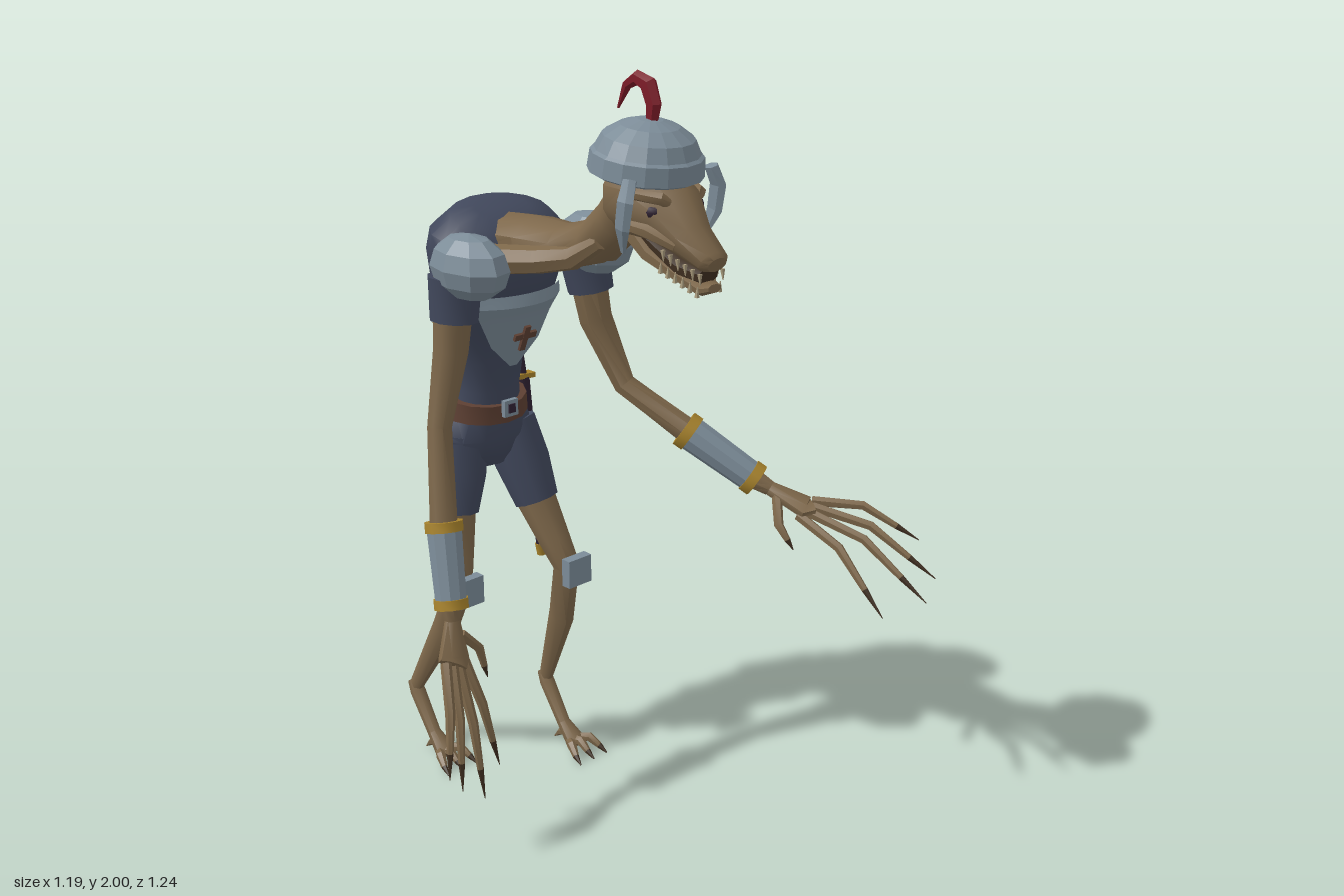
import * as THREE from 'three';
import { toCreasedNormals } from 'three/addons/utils/BufferGeometryUtils.js';

const CX = -0.125; // body's middle
const V = (p) => new THREE.Vector3(p[0], p[1], p[2]);
const mat = (name, color, double) => {
  const m = new THREE.MeshStandardMaterial({ color });
  m.name = name;
  if (double) m.side = THREE.DoubleSide;
  return m;
};

// Solid skin over elliptical rings along a path; each ring is [x, y, z, width, depth]
function loft(rings, sides = 8, crease = 0.8) {
  const pos = [], idx = [], n = rings.length, pts = rings.map(V);
  rings.forEach((r, i) => {
    const t = pts[Math.min(i + 1, n - 1)].clone().sub(pts[Math.max(i - 1, 0)]).normalize();
    const u = new THREE.Vector3(1, 0, 0).addScaledVector(t, -t.x).normalize();
    const v = t.clone().cross(u);
    for (let j = 0; j < sides; j++) {
      const a = ((j + 0.5) / sides) * Math.PI * 2;
      const p = pts[i].clone().addScaledVector(u, Math.cos(a) * r[3]).addScaledVector(v, Math.sin(a) * (r[4] ?? r[3]));
      pos.push(p.x, p.y, p.z);
    }
  });
  pos.push(...pts[0].toArray(), ...pts[n - 1].toArray());
  const c0 = n * sides, c1 = c0 + 1;
  for (let j = 0; j < sides; j++) {
    const k = (j + 1) % sides;
    for (let i = 0; i < n - 1; i++) {
      const a = i * sides, b = a + sides;
      idx.push(a + j, a + k, b + j, a + k, b + k, b + j);
    }
    const e = (n - 1) * sides;
    idx.push(c0, k, j, c1, e + j, e + k);
  }
  const g = new THREE.BufferGeometry();
  g.setAttribute('position', new THREE.Float32BufferAttribute(pos, 3));
  g.setIndex(idx);
  return toCreasedNormals(g, crease);
}

// Curved plate wrapped round the body; rows are [y, rx, rz, zCentre, halfAngle]
const platePoint = ([y, rx, rz, zc], a, dir) => [CX + rx * Math.sin(a), y, zc + dir * rz * Math.cos(a)];
function plate(rows, dir, cols = 8) {
  const pos = [], idx = [];
  rows.forEach((r, i) => {
    for (let j = 0; j <= cols; j++) {
      pos.push(...platePoint(r, (j / cols * 2 - 1) * r[4] * dir, dir));
      if (i && j) {
        const d = i * (cols + 1) + j, b = d - cols - 1;
        idx.push(b - 1, d - 1, b, b, d - 1, d);
      }
    }
  });
  const g = new THREE.BufferGeometry();
  g.setAttribute('position', new THREE.Float32BufferAttribute(pos, 3));
  g.setIndex(idx);
  return toCreasedNormals(g, 0.5);
}

export function createModel() {
  const model = new THREE.Group();
  const skin = mat('tan skin', 0x7d674a), steel = mat('steel', 0x7c8c98, true);
  const cloth = mat('dark blue cloth', 0x41485c, true), gold = mat('gold', 0xa8832c);
  const leather = mat('brown leather', 0x5e4033), sheath = mat('dark purple', 0x2f2232);
  const red = mat('plume red', 0x7d1c28), claw = mat('dark claw', 0x3d2d1f);
  const bone = mat('bone', 0xa89a7c);

  const add = (name, geo, m, parent = model) => {
    const mesh = new THREE.Mesh(geo, m);
    mesh.name = name;
    parent.add(mesh);
    return mesh;
  };
  const box = (name, size, p, m, rx = 0, rz = 0) => {
    const b = add(name, new THREE.BoxGeometry(...size), m);
    b.position.set(...p);
    b.rotation.set(rx, 0, rz);
  };
  // Rings placed on the body's middle plane: [y, z, width, depth]
  const mid = (rows) => rows.map(([y, z, w, d]) => [CX, y, z, w, d]);

  // Torso and hips
  add('torso', loft(mid([[1.05, -.44, .105, .09], [1.12, -.425, .09, .08], [1.2, -.425, .105, .09], [1.3, -.42, .135, .105],
    [1.4, -.385, .175, .135], [1.5, -.365, .2, .145], [1.555, -.36, .195, .13], [1.595, -.345, .15, .095], [1.61, -.34, .08, .05]]), 16), cloth);
  add('hips', loft(mid([[.9, -.45, .08, .07], [.94, -.45, .135, .09], [.99, -.445, .152, .1], [1.06, -.44, .115, .095]]), 14), cloth);
  add('belt', loft([[CX, 1.045, -.447, .128, .112], [CX, 1.095, -.44, .12, .108]], 14), leather);
  box('buckle', [.045, .045, .014], [CX, 1.073, -.33], steel);
  box('buckleHole', [.022, .024, .006], [CX, 1.073, -.322], sheath);

  // Chest plate with its cross
  add('chestPlate', plate([[1.405, .185, .145, -.38, .85], [1.375, .18, .16, -.385, .9], [1.33, .16, .15, -.4, .8],
    [1.26, .14, .137, -.415, .6], [1.195, .12, .115, -.425, .1]], 1), steel);
  box('crossUpright', [.018, .075, .008], [CX, 1.28, -.262], leather, .4);
  box('crossBar', [.07, .018, .008], [CX, 1.287, -.26], leather, .4);

  // Pointed back panel with gold edging
  const back = [[1.37, .14, .132, -.405, 1.1], [1.3, .14, .138, -.41, .78], [1.22, .14, .143, -.415, .5], [1.1, .14, .15, -.425, .05]];
  add('backPanel', plate(back, -1), cloth);
  for (const s of [1, -1])
    add('backTrim', loft(back.map((r) => [...platePoint(r, s * r[4], -1), .011, .011]), 5), gold);
  box('backStripe', [.014, .15, .008], [CX, 1.27, -.559], steel, -.14);
  box('backBar', [.09, .014, .008], [CX, 1.33, -.551], steel, -.14);

  // Neck and head
  add('neck', loft(mid([[1.54, -.33, .085, .06], [1.55, -.2, .09, .06], [1.555, -.08, .075, .055], [1.585, .02, .063, .055],
    [1.65, .1, .065, .06], [1.71, .16, .07, .07]]), 10), skin);
  add('skull', loft(mid([[1.72, .09, .045, .05], [1.72, .13, .085, .09], [1.72, .2, .1, .1], [1.69, .28, .085, .075],
    [1.645, .335, .06, .045], [1.605, .405, .045, .028], [1.6, .418, .03, .018]]), 10), skin);
  add('mouth', loft(mid([[1.63, .22, .05, .03], [1.58, .32, .045, .025], [1.57, .39, .034, .02]]), 8), claw);
  add('lowerJaw', loft(mid([[1.66, .16, .06, .04], [1.6, .24, .062, .028], [1.565, .32, .047, .02], [1.54, .39, .038, .016], [1.545, .412, .022, .01]]), 8), skin);
  for (const s of [1, -1]) {
    const sx = (x) => CX + s * x;
    add('neckMuscle', loft([[sx(.045), 1.6, .08, .02], [sx(.06), 1.55, .0, .03], [sx(.085), 1.53, -.1, .035], [sx(.13), 1.51, -.26, .04]], 7), skin);
    const eye = add('eye', new THREE.SphereGeometry(.026, 8, 6), sheath);
    eye.position.set(sx(.058), 1.708, .282);
    eye.scale.set(1.1, .75, .9);
    add('brow', loft([[sx(.03), 1.718, .312, .012], [sx(.06), 1.738, .3, .016], [sx(.094), 1.745, .24, .012]], 6), skin);
    add('cheekbone', loft([[sx(.05), 1.635, .335, .012], [sx(.082), 1.665, .275, .017], [sx(.1), 1.675, .2, .012]], 6), skin);
    for (let i = 0; i < 6; i++) {
      const z = .3 + i * .02, x = sx(.054 - i * .0035), y = 1.622 - i * .008;
      add('upperTooth', loft([[x, y, z, .006], [x, y - .026, z + .002, .001]], 4), bone);
      add('lowerTooth', loft([[x, y - .055, z - .008, .006], [x, y - .03, z - .006, .001]], 4), bone);
    }
    add('cheekGuard', loft([[sx(.128), 1.785, .27, .014, .02], [sx(.147), 1.74, .275, .014, .026],
      [sx(.147), 1.68, .265, .012, .024], [sx(.13), 1.62, .25, .004, .008]], 6, .1), steel);
  }

  // Helmet and plume
  const profile = [[0, -.012], [.125, -.014], [.136, -.008], [.132, .036], [.124, .042], [.108, .075], [.07, .1], [.03, .113], [0, .116]];
  const helmet = add('helmet', toCreasedNormals(new THREE.LatheGeometry(profile.map((p) => new THREE.Vector2(...p)), 16), .1), steel);
  helmet.position.set(CX, 1.785, .188);
  helmet.rotation.x = .12;
  add('plume', loft(mid([[1.88, .205, .012, .015], [1.93, .212, .016, .022], [1.972, .195, .018, .024], [1.985, .16, .017, .017],
    [1.965, .125, .012, .012], [1.91, .095, .003, .003]]), 6, .4), red);

  // Arms: upper path, cuff ends, hand, finger tips; bow lifts the finger middles
  const arms = [
    { name: 'left', pad: [.085, 1.505, -.225], top: [.085, 1.48, -.27], sleeve: [.098, 1.37, -.255], bicep: [.107, 1.29, -.245], elbow: [.155, 1.11, -.185],
      cuff: [[.222, 1.008, -.02], [.33, .88, .14]], wrist: [.35, .86, .175], palm: [.395, .82, .265], bow: [.01, .035, 0],
      knuckles: [[.43, .825, .255], [.41, .82, .275], [.388, .812, .28], [.365, .805, .265]],
      tips: [[.59, .74, .495], [.55, .67, .585], [.475, .635, .615], [.38, .6, .55]],
      thumb: [[.35, .845, .2], [.305, .79, .25], [.315, .73, .295]] },
    { name: 'right', pad: [-.335, 1.515, -.21], top: [-.335, 1.48, -.27], sleeve: [-.343, 1.37, -.27], bicep: [-.355, 1.29, -.272], elbow: [-.397, 1.1, -.275],
      cuff: [[-.43, .862, -.23], [-.457, .655, -.175]], wrist: [-.46, .62, -.17], palm: [-.478, .53, -.145], bow: [-.01, .02, .025],
      knuckles: [[-.515, .53, -.13], [-.494, .515, -.13], [-.472, .51, -.135], [-.45, .52, -.145]],
      tips: [[-.595, .27, -.025], [-.545, .21, -.04], [-.467, .15, -.05], [-.385, .2, -.09]],
      thumb: [[-.445, .58, -.155], [-.4, .53, -.14], [-.38, .44, -.135]] },
  ];
  for (const a of arms) {
    const g = new THREE.Group();
    g.name = a.name + 'Arm';
    model.add(g);
    const pad = add('shoulderGuard', toCreasedNormals(new THREE.SphereGeometry(1, 9, 6), .05), steel, g);
    pad.scale.set(.08, .083, .125);
    pad.position.set(...a.pad);
    add('sleeve', loft([[...a.top, .07], [...a.sleeve, .06, .065]], 10), cloth, g);
    add('arm', loft([[...a.top, .055], [...a.bicep, .046], [...a.elbow, .032], [...a.cuff[0], .036], [...a.cuff[1], .028], [...a.wrist, .021]], 8), skin, g);
    const at = (f) => V(a.cuff[0]).lerp(V(a.cuff[1]), f).toArray();
    add('cuff', loft([[...at(0), .047], [...at(1), .041]], 10, .1), steel, g);
    for (const [f, r] of [[-.02, .051], [.9, .046]])
      add('cuffBand', loft([[...at(f), r], [...at(f + .12), r]], 10), gold, g);
    add('palm', loft([[...a.wrist, .02], [...a.palm, .045, .02], [...V(a.palm).lerp(V(a.knuckles[1]), .9).toArray(), .04, .016]], 8), skin, g);
    const finger = (k, m, t, r) => {
      const c = m.clone().lerp(t, .6).toArray();
      add('finger', loft([[...k.toArray(), r], [...m.toArray(), r * .9], [...c, r * .6]], 6), skin, g);
      add('claw', loft([[...c, r * .6], [...t.toArray(), .001]], 6), claw, g);
    };
    a.knuckles.forEach((k, i) => {
      const t = V(a.tips[i]);
      finger(V(k), V(k).lerp(t, .45).add(V(a.bow)), t, .0145);
    });
    finger(...a.thumb.map(V), .014);
  }

  // Legs: hip, hem, knee, calf, ankle
  const legs = [
    { name: 'left', hip: [-.05, .99, -.435], hem: [-.02, .775, -.355], knee: [0, .6, -.255], calf: [.013, .43, -.295], ankle: [.03, .195, -.388] },
    { name: 'right', hip: [-.2, .99, -.455], hem: [-.23, .775, -.445], knee: [-.255, .565, -.41], calf: [-.264, .42, -.47], ankle: [-.28, .195, -.6] },
  ];
  for (const l of legs) {
    const g = new THREE.Group();
    g.name = l.name + 'Leg';
    model.add(g);
    add('shortsLeg', loft([[...l.hip, .075, .085], [...V(l.hip).lerp(V(l.hem), .5).toArray(), .074, .085], [...l.hem, .062, .066]], 10), cloth, g);
    add('leg', loft([[...l.hem, .056], [...V(l.hem).lerp(V(l.knee), .6).toArray(), .045], [...l.knee, .037, .04], [...l.calf, .034, .04], [...l.ankle, .018, .022]], 8), skin, g);
    const pad = add('kneeGuard', new THREE.BoxGeometry(.08, .08, .03), steel, g);
    pad.position.set(l.knee[0], l.knee[1], l.knee[2] + .043);
    const [x, y, z] = l.ankle;
    add('foot', loft([[x, y + .012, z - .012, .018], [x, y - .02, z + .005, .022], [x, .07, z + .075, .019], [x, .035, z + .12, .03, .02], [x, .025, z + .14, .024, .014]], 8), skin, g);
    for (const s of [-1, 0, 1]) {
      const ring = (f, h, d, r) => [x + s * f, h, z + d, r];
      const tip = ring(.045, .018, .18, .009);
      add('toe', loft([ring(.012, .03, .115, .014), ring(.034, .038, .15, .014), tip], 6), skin, g);
      add('toeClaw', loft([tip, ring(.05, .003, .207, .002)], 6), claw, g);
    }
    add('backToe', loft([[x, .05, z + .1, .013], [x, .03, z + .06, .01], [x, .006, z + .035, .002]], 6), skin, g);
  }

  // Sheathed sword at the left hip
  add('sheath', loft([[.036, 1.09, -.467, .017], [.069, .58, -.446, .014]], 8), sheath);
  add('sheathTip', loft([[.068, .585, -.446, .017], [.07, .55, -.445, .013]], 8), gold);
  add('grip', loft([[.022, 1.195, -.471, .011], [.034, 1.09, -.467, .012]], 8), sheath);
  add('pommel', loft([[.021, 1.213, -.472, .009], [.022, 1.185, -.471, .014]], 6), gold);
  box('guard', [.07, .014, .03], [.032, 1.095, -.467], gold, 0, -.07);
  return model;
}
